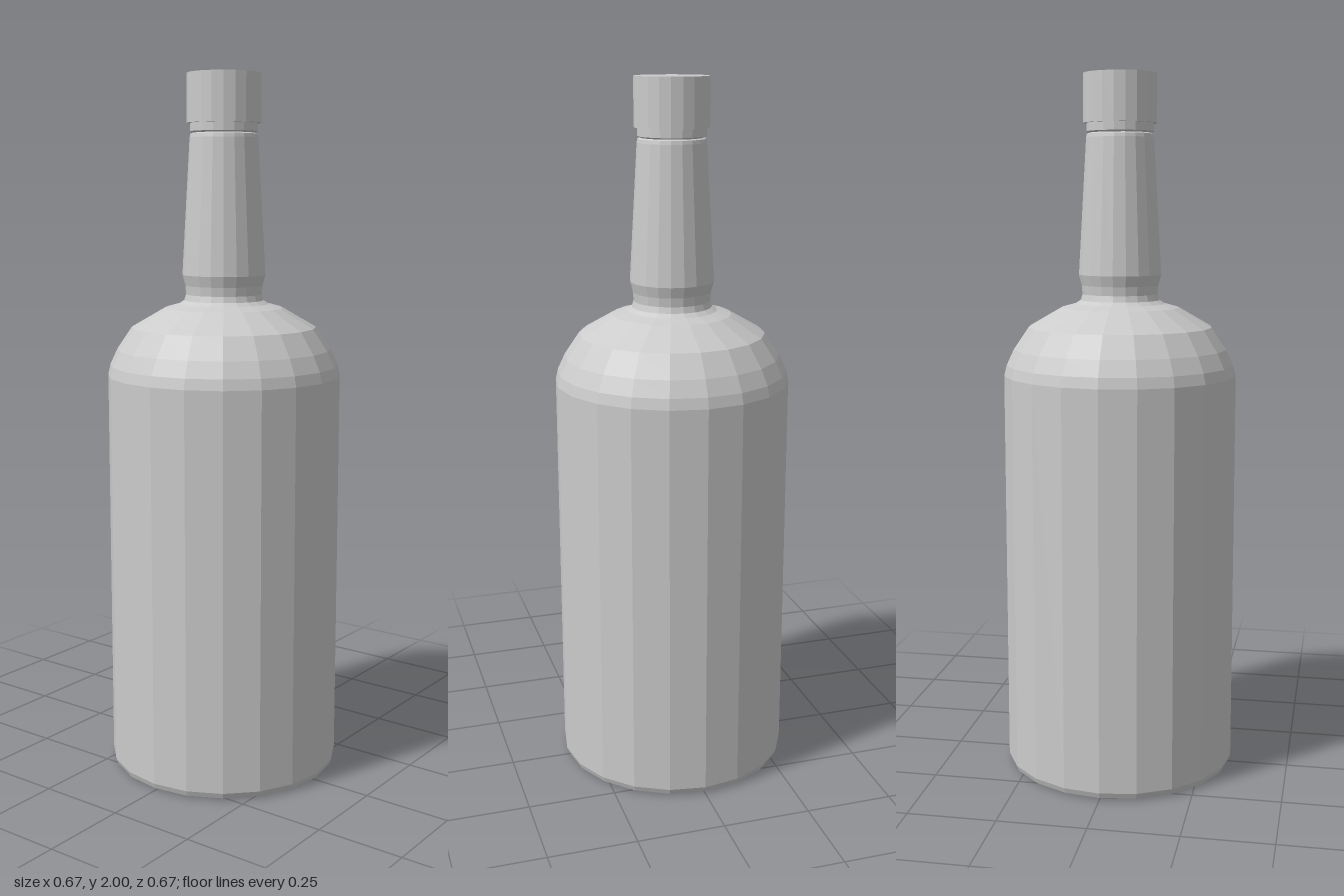
import * as THREE from 'three';

const SIDES = 20;
const material = new THREE.MeshStandardMaterial({ color: 0xcccccc, flatShading: true });

// Faceted turned part from [radius, height] pairs, listed bottom to top
function turned(name, profile) {
  const points = profile.map(([r, y]) => new THREE.Vector2(r, y));
  const mesh = new THREE.Mesh(new THREE.LatheGeometry(points, SIDES), material);
  mesh.name = name;
  return mesh;
}

export function createModel() {
  const bottle = new THREE.Group();
  bottle.name = 'bottle';

  // Closed base with a small bevel, straight wall and rounded shoulder
  bottle.add(turned('body', [
    [0, 0.005], [0.315, 0.005], [0.327, 0.011], [0.333, 0.027],
    [0.333, 1.16], [0.326, 1.19], [0.305, 1.235], [0.263, 1.297],
    [0.168, 1.352], [0.128, 1.363], [0.113, 1.373],
  ]));

  // Pinched collar, bulge, then a tapering neck closed at the top
  bottle.add(turned('neck', [
    [0.113, 1.373], [0.108, 1.39], [0.11, 1.415], [0.118, 1.445],
    [0.117, 1.46], [0.096, 1.825], [0.094, 1.835], [0.088, 1.838],
  ]));

  // Narrow ring below the stopper
  bottle.add(turned('neckRing', [
    [0.088, 1.838], [0.095, 1.842], [0.095, 1.865],
  ]));

  // Flat-topped stopper
  bottle.add(turned('cap', [
    [0, 1.865], [0.104, 1.865], [0.104, 2], [0, 2],
  ]));

  return bottle;
}
